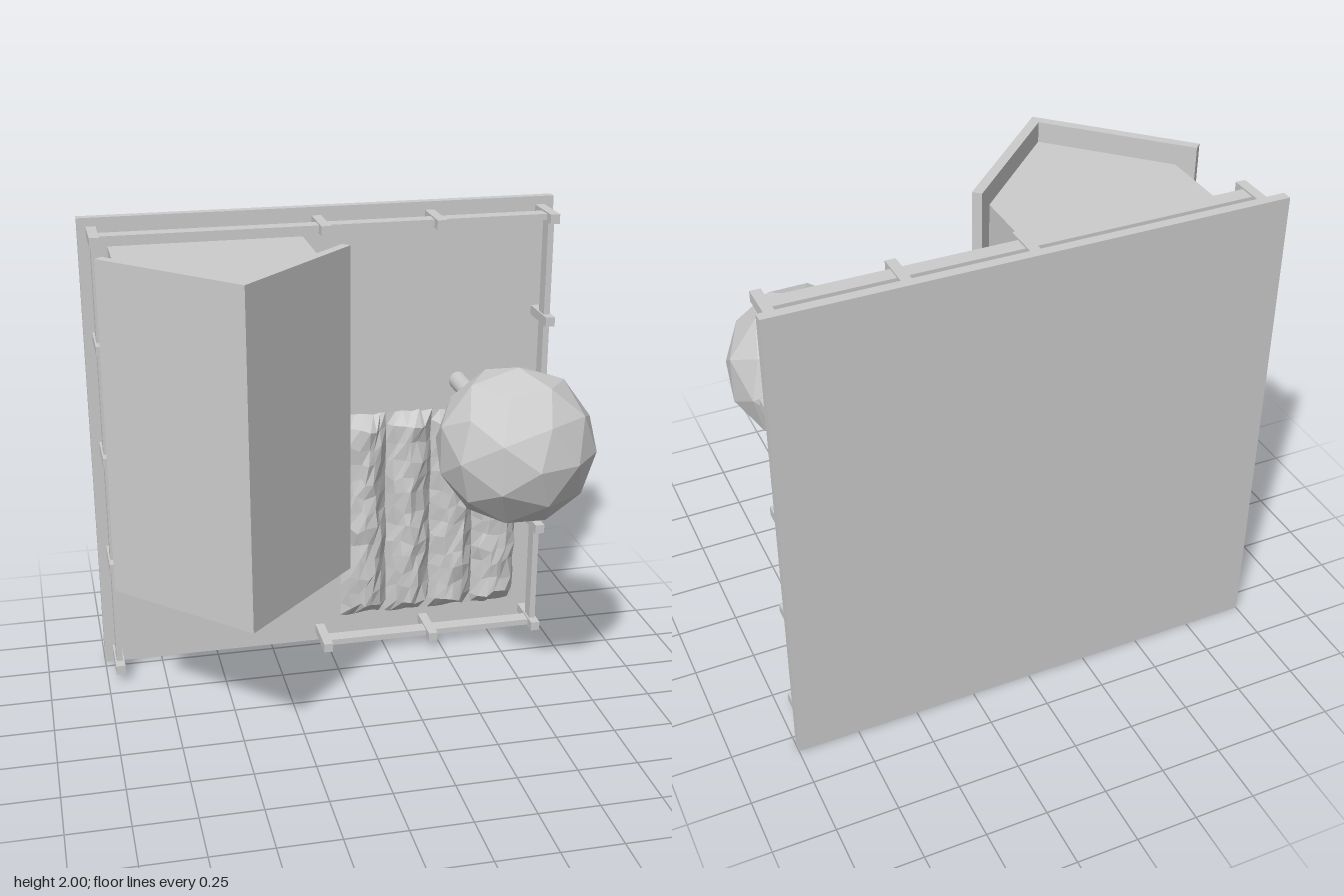
import * as THREE from 'three';

const GROUND_Z = -0.54; // front face of the upright ground slab

export function createModel() {
  const model = new THREE.Group();
  const material = new THREE.MeshStandardMaterial({ color: 0xcccccc, flatShading: true });
  const smooth = new THREE.MeshStandardMaterial({ color: 0xcccccc });

  const add = (name, geometry, parent = model, mat = material) => {
    const mesh = new THREE.Mesh(geometry, mat);
    mesh.name = name;
    parent.add(mesh);
    return mesh;
  };
  // Box given by its minimum and maximum corners
  const box = (name, a, b, parent) =>
    add(name, new THREE.BoxGeometry(b[0] - a[0], b[1] - a[1], b[2] - a[2]), parent)
      .position.set((a[0] + b[0]) / 2, (a[1] + b[1]) / 2, (a[2] + b[2]) / 2);
  // Outline in x and z, extruded upward from y0 to y1
  const prism = (name, points, y0, y1, parent) => {
    const shape = new THREE.Shape(points.map(([x, z]) => new THREE.Vector2(x, -z)));
    const geometry = new THREE.ExtrudeGeometry(shape, { depth: y1 - y0, bevelEnabled: false });
    add(name, geometry.rotateX(-Math.PI / 2).translate(0, y0, 0), parent);
  };

  // Ground slab
  box('ground', [-1, 0, -0.58], [1, 2, GROUND_Z]);

  // House: gabled body under a folded roof
  const house = new THREE.Group();
  house.name = 'house';
  model.add(house);
  const cx = -0.483;
  prism('houseBody', [
    [cx - 0.4, GROUND_Z], [cx + 0.4, GROUND_Z], [cx + 0.4, 0.025], [cx, 0.425], [cx - 0.4, 0.025],
  ], 0.68, 1.88, house);
  prism('roof', [
    [cx - 0.484, -0.01], [cx, 0.474], [cx + 0.484, -0.01],
    [cx + 0.456, -0.038], [cx, 0.418], [cx - 0.456, -0.038],
  ], 0.605, 1.965, house);

  // Fence: posts and rails, with a gap for the entrance
  const fence = new THREE.Group();
  fence.name = 'fence';
  model.add(fence);
  const L = -0.945, R = 0.94, B = 0.06, T = 1.945;
  const posts = [];
  for (const y of [B, 0.545, 1.025, 1.505, T]) posts.push([L, y], [R, y]);
  for (const x of [-0.025, 0.457]) posts.push([x, B], [x, T]);
  for (const [x, y] of posts)
    box('fencePost', [x - 0.02, y - 0.02, GROUND_Z], [x + 0.02, y + 0.02, -0.34], fence);
  for (const [x0, y0, x1, y1] of [[L, T, R, T], [-0.025, B, R, B], [L, B, L, T], [R, B, R, T]])
    box('fenceRail', [x0 - 0.013, y0 - 0.013, -0.453], [x1 + 0.013, y1 + 0.013, -0.388], fence);

  // Tree: straight trunk and faceted crown with a corner pointing forward
  const tree = new THREE.Group();
  tree.name = 'tree';
  tree.position.set(0.6, 1.205, 0);
  model.add(tree);
  add('trunk', new THREE.CylinderGeometry(0.04, 0.04, 0.6, 32).rotateX(Math.PI / 2), tree, smooth)
    .position.z = GROUND_Z + 0.3;
  const golden = (1 + Math.sqrt(5)) / 2;
  add('crown', new THREE.IcosahedronGeometry(0.317, 1)
    .rotateX(Math.atan(1 / golden)).rotateZ(Math.PI / 2), tree).position.z = 0.264;

  // Garden bed: four lumpy ridges of soil
  const bed = new THREE.Group();
  bed.name = 'gardenBed';
  model.add(bed);
  let seed = 7;
  const jitter = (amount) => {
    seed = (seed * 16807) % 2147483647;
    return (seed / 2147483647 - 0.5) * 2 * amount;
  };
  const across = 6, along = 13;
  for (let row = 0; row < 4; row++) {
    const geometry = new THREE.PlaneGeometry(2, 2, across, along);
    const p = geometry.attributes.position;
    for (let i = 0; i < p.count; i++) {
      const u = p.getX(i);
      const j = Math.floor(i / (across + 1));
      const end = j === 0 || j === along;
      const side = Math.abs(u) > 0.99;
      const y = j === 0 ? 1.08 : j === along ? 0.12
        : 1.02 - (0.84 * (j - 1)) / (along - 2) + jitter(0.018);
      const height = 0.083 * (1 - Math.abs(u) ** 2) + (side ? 0 : jitter(0.01));
      p.setXYZ(i,
        0.177 + 0.202 * row + 0.102 * u + jitter(side ? 0.006 : 0.014),
        y + (end ? jitter(0.008) : 0),
        GROUND_Z + (end ? 0.003 : Math.max(height, 0.005)));
    }
    const ridge = geometry.toNonIndexed();
    ridge.computeVertexNormals();
    add('soilRidge', ridge, bed);
  }

  return model;
}
